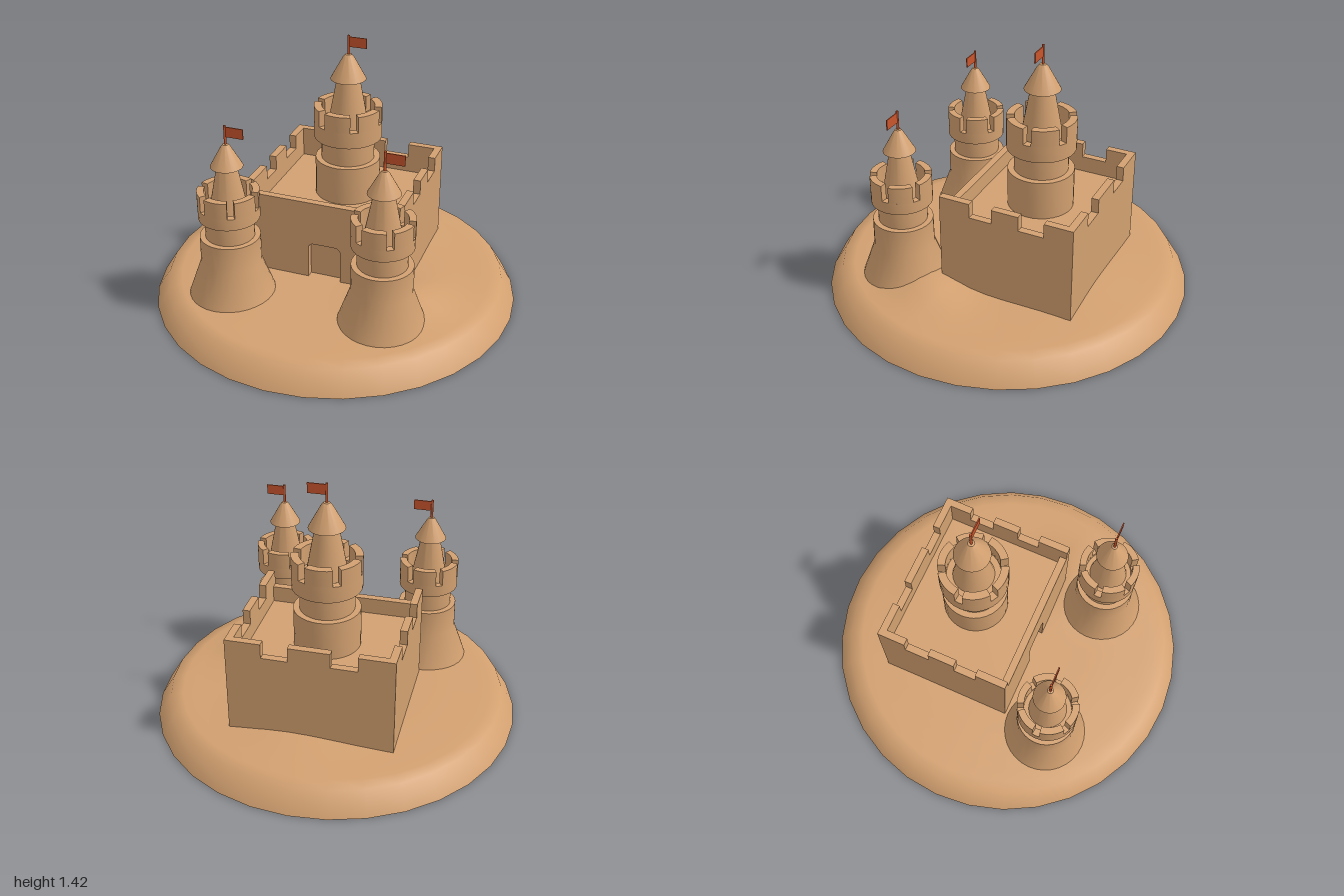
import * as THREE from 'three';
import { toCreasedNormals } from 'three/addons/utils/BufferGeometryUtils.js';

const sand = new THREE.MeshStandardMaterial({ color: 0xd2a070 });
const red = new THREE.MeshStandardMaterial({ color: 0xc8552d });

function add(parent, name, geometry, material = sand, x = 0, y = 0, z = 0) {
  const mesh = new THREE.Mesh(geometry, material);
  mesh.name = name;
  mesh.position.set(x, y, z);
  parent.add(mesh);
  return mesh;
}

function lathe(points, segments = 32, crease = 0.6) {
  const profile = points.map(([r, y]) => new THREE.Vector2(r, y));
  return toCreasedNormals(new THREE.LatheGeometry(profile, segments), crease);
}

// Sand mound: a 32-sided disc whose top is gently uneven
function moundGeometry() {
  const profile = [[0, 0], [1, 0], [0.925, 0.12]];
  for (let i = 1; i <= 14; i++) profile.push([0.925 * (1 - i / 14), 0.13]);
  const geo = new THREE.LatheGeometry(profile.map(([r, y]) => new THREE.Vector2(r, y)), 32);
  const p = geo.attributes.position;
  for (let i = 0; i < p.count; i++) {
    if (p.getY(i) < 0.125) continue;
    const x = p.getX(i), z = p.getZ(i);
    const inside = Math.min(1, (0.925 - Math.hypot(x, z)) / 0.35);
    const hill = (cx, cz, h, w) => h * Math.exp(-((x - cx) ** 2 + (z - cz) ** 2) / (w * w));
    p.setY(i, 0.125 + inside * 0.015 + hill(0.5, 0.23, 0.075, 0.19) + hill(0.1, -0.5, 0.025, 0.3));
  }
  return toCreasedNormals(geo, 1.1);
}

// Block of a round battlement between two angles
function merlonGeometry(inner, outer, from, to, height) {
  const shape = new THREE.Shape();
  shape.absarc(0, 0, outer, from, to, false);
  shape.absarc(0, 0, inner, to, from, true);
  const geo = new THREE.ExtrudeGeometry(shape, { depth: height, bevelEnabled: false, curveSegments: 5 });
  geo.rotateX(-Math.PI / 2);
  return toCreasedNormals(geo, 0.6);
}

// Round tower; s holds its profile and key heights
function tower(name, x, z, s) {
  const g = new THREE.Group();
  g.name = name;
  g.position.set(x, 0, z);
  const deck = s.notch - 0.02;
  add(g, 'towerBody', lathe([...s.body, [s.outer, s.notch], [s.inner, s.notch], [s.inner, deck], [0, deck]]));
  const gaps = 6, gap = 0.24, step = (Math.PI * 2) / gaps;
  for (let i = 0; i < gaps; i++) {
    const a = i * step;
    add(g, 'towerMerlon', merlonGeometry(s.inner, s.outer, a + gap / 2, a + step - gap / 2, s.crown - s.notch),
      sand, 0, s.notch, 0).rotation.y = 0;
  }
  // Tapered turret, pointed roof, pole and flag
  add(g, 'turret', lathe([[s.turret, deck], [s.neck, s.eave + 0.01]]));
  add(g, 'roof', lathe([[0, s.eave], [s.roof, s.eave], [s.roof * 0.32, s.tip - 0.02],
    [s.roof * 0.18, s.tip - 0.004], [0, s.tip]]));
  const top = s.tip + 0.1;
  add(g, 'flagPole', new THREE.CylinderGeometry(0.007, 0.007, 0.14, 8), red, 0, top - 0.07, 0);
  add(g, 'flag', new THREE.BoxGeometry(0.095, 0.055, 0.006), red, 0.0525, top - 0.035, 0);
  return g;
}

// Upright wall with raised merlons [from, to] and an optional door hole
function wallGeometry(half, merlons, hole) {
  const low = 0.6, high = 0.68;
  const shape = new THREE.Shape();
  shape.moveTo(-half, 0.04);
  shape.lineTo(half, 0.04);
  shape.lineTo(half, low);
  for (const [a, b] of [...merlons].reverse()) {
    shape.lineTo(b, low);
    shape.lineTo(b, high);
    shape.lineTo(a, high);
    shape.lineTo(a, low);
  }
  shape.lineTo(-half, low);
  if (hole) shape.holes.push(hole);
  return new THREE.ExtrudeGeometry(shape, { depth: 0.04, bevelEnabled: false });
}

function keep() {
  const g = new THREE.Group();
  g.name = 'keep';
  g.position.z = -0.193;
  const hx = 0.44, hz = 0.373;

  // Solid core, its top being the courtyard floor
  add(g, 'courtyard', new THREE.BoxGeometry(0.8, 0.46, 2 * hz - 0.08), sand, 0, 0.28, 0);

  // Front wall with a shallow round-cornered doorway
  const door = new THREE.Path();
  door.moveTo(-0.092, 0.08);
  door.lineTo(-0.092, 0.315);
  door.quadraticCurveTo(-0.092, 0.35, -0.055, 0.35);
  door.lineTo(0.055, 0.35);
  door.quadraticCurveTo(0.092, 0.35, 0.092, 0.315);
  door.lineTo(0.092, 0.08);
  door.closePath();
  add(g, 'frontWall', wallGeometry(hx, [], door), sand, 0, 0, hz - 0.04);

  // Back and side walls with battlements
  add(g, 'backWall', wallGeometry(hx, [[-hx, -0.25], [-0.11, 0.11], [0.25, hx]]), sand, 0, 0, -hz);
  const sideMerlons = [[-hz, -0.2], [-0.075, 0.075], [0.215, hz]];
  for (const side of [-1, 1]) {
    const merlons = side > 0 ? sideMerlons : sideMerlons.map(([a, b]) => [-b, -a]).reverse();
    const wall = add(g, side > 0 ? 'leftWall' : 'rightWall', wallGeometry(hz, merlons), sand, side * (hx - 0.04), 0, 0);
    wall.rotation.y = side * Math.PI / 2;
  }
  return g;
}

export function createModel() {
  const model = new THREE.Group();
  model.name = 'sandCastle';
  add(model, 'mound', moundGeometry());
  model.add(keep());

  model.add(tower('centralTower', 0, -0.193, {
    body: [[0.178, 0.48], [0.178, 0.725], [0.145, 0.725], [0.145, 0.85], [0.185, 0.85]],
    outer: 0.185, inner: 0.143, notch: 0.94, crown: 1.03,
    turret: 0.11, neck: 0.06, eave: 1.18, roof: 0.096, tip: 1.32,
  }));

  const corner = {
    body: [[0.24, 0.1], [0.225, 0.15], [0.162, 0.325], [0.16, 0.475], [0.13, 0.475], [0.13, 0.585], [0.162, 0.585]],
    outer: 0.162, inner: 0.125, notch: 0.65, crown: 0.74,
    turret: 0.1, neck: 0.05, eave: 0.875, roof: 0.085, tip: 1.0,
  };
  model.add(tower('frontLeftTower', 0.407, 0.423, corner));
  model.add(tower('frontRightTower', -0.433, 0.423, corner));
  return model;
}
